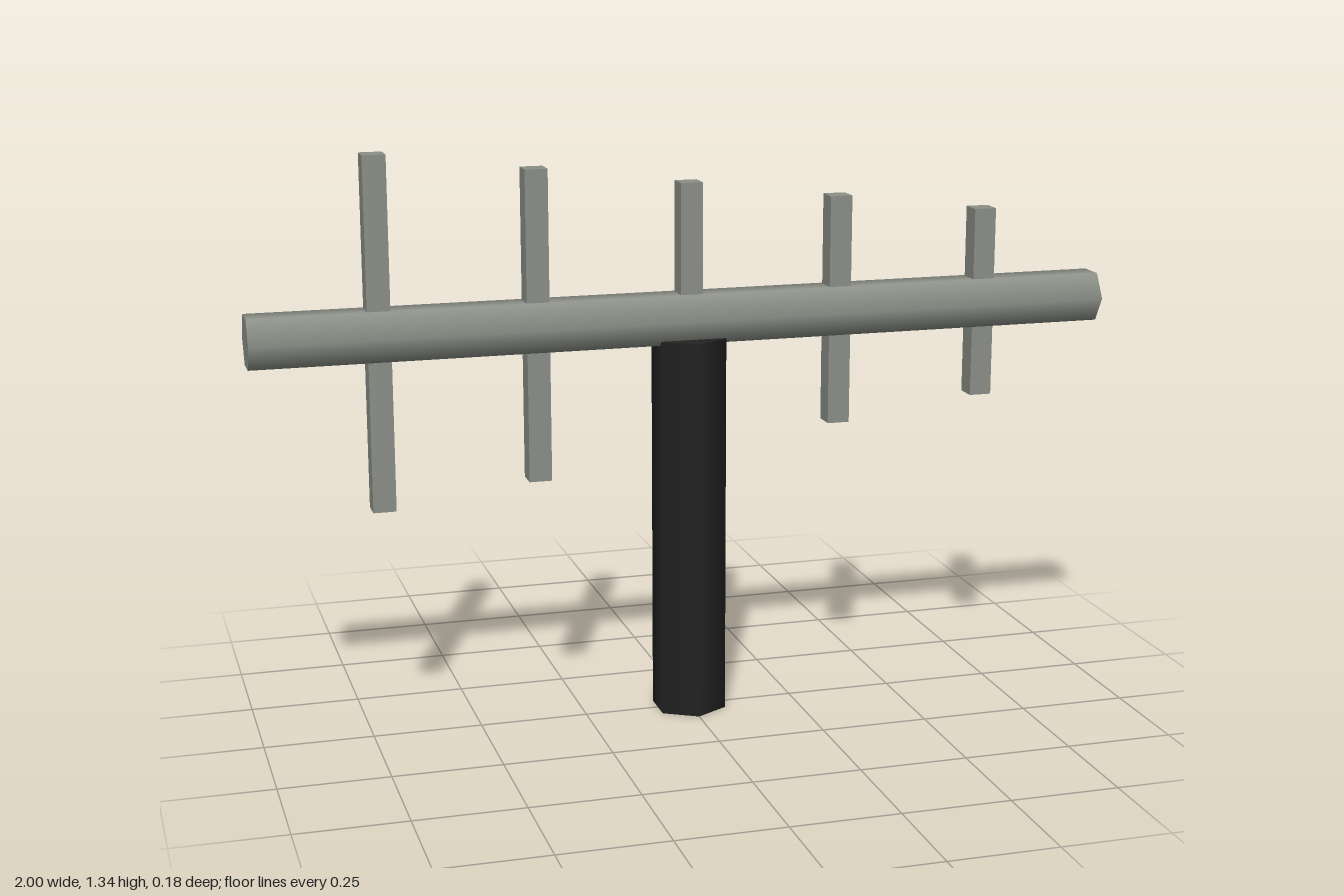
import * as THREE from 'three';

export function createModel() {
  const model = new THREE.Group();
  model.name = 'antenna';

  const metal = new THREE.MeshStandardMaterial({ color: 0x8c9088 });
  metal.name = 'greyMetal';
  const black = new THREE.MeshStandardMaterial({ color: 0x222222 });
  black.name = 'blackPost';

  const add = (name, geometry, material, x, y) => {
    const mesh = new THREE.Mesh(geometry, material);
    mesh.name = name;
    mesh.position.set(x, y, 0);
    model.add(mesh);
    return mesh;
  };

  const boomY = 0.936;

  // Six-sided upright post
  const postHeight = 0.89;
  add('post', new THREE.CylinderGeometry(0.088, 0.088, postHeight, 6), black, 0, postHeight / 2);

  // Six-sided boom lying along x
  add('boom', new THREE.CylinderGeometry(0.065, 0.065, 2, 6).rotateZ(Math.PI / 2), metal, 0, boomY);

  // Five square rods through the boom, shortening towards +x
  for (let i = 0; i < 5; i++) {
    const length = 0.798 - i * 0.0885;
    add(`rod${i + 1}`, new THREE.BoxGeometry(0.052, length, 0.052), metal, (i - 2) * 0.356, boomY);
  }

  return model;
}
